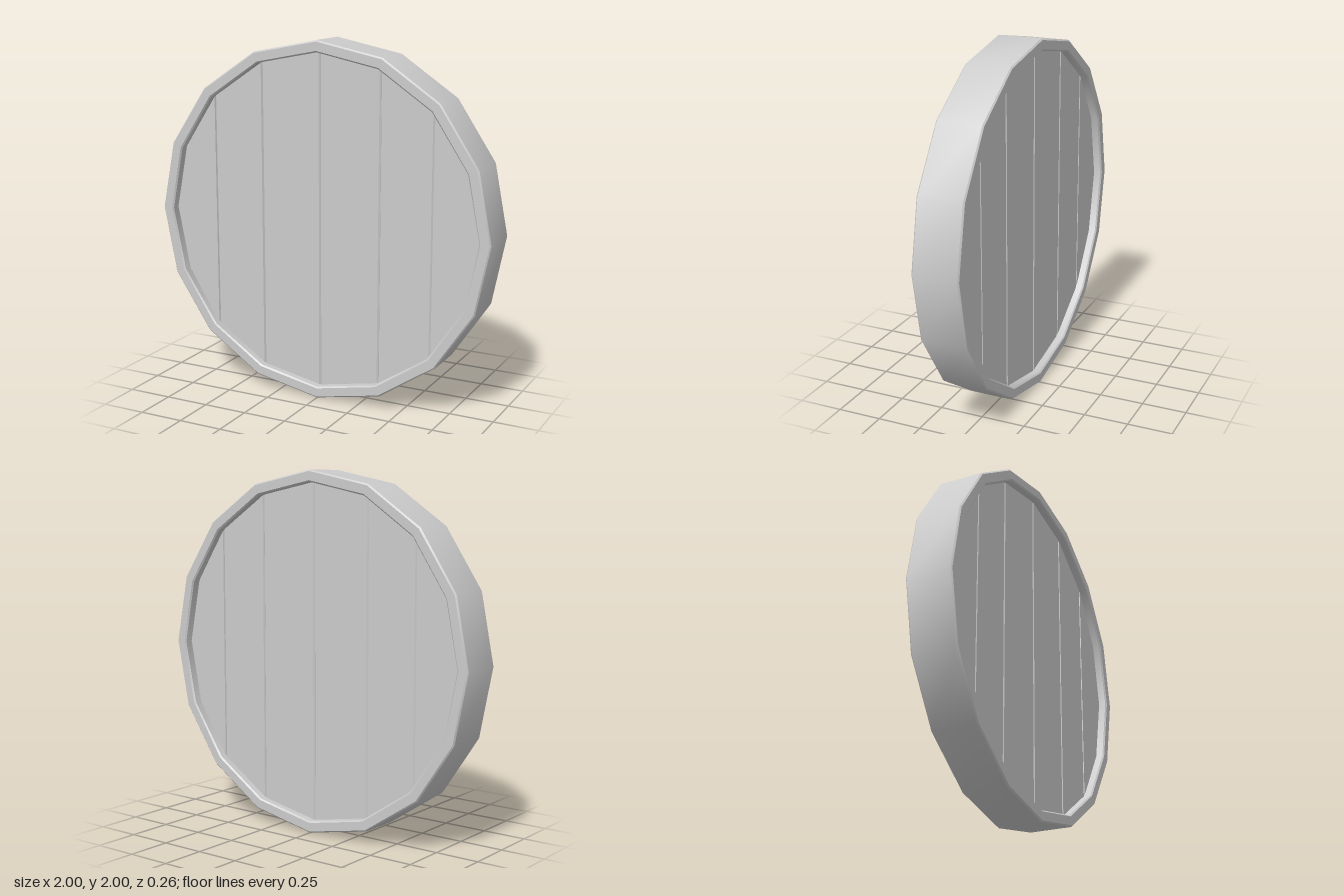
import * as THREE from 'three';
import { toCreasedNormals } from 'three/addons/utils/BufferGeometryUtils.js';

const SIDES = 16;
const HALF_DEPTH = 0.13;
const PANEL_HALF = 0.085;
const INNER = 0.935;
const material = new THREE.MeshStandardMaterial({ color: 0xcccccc });

// Hoop: chamfered rectangular section swept round 16 sides
function makeRim() {
  const c = 0.008, h = HALF_DEPTH;
  const profile = [
    [1, -h + c], [1, h - c], [1 - c, h], [INNER + c, h],
    [INNER, h - c], [INNER, -h + c], [INNER + c, -h], [1 - c, -h], [1, -h + c],
  ].map(([r, y]) => new THREE.Vector2(r, y));
  const geometry = new THREE.LatheGeometry(profile, SIDES);
  geometry.rotateX(Math.PI / 2);
  const rim = new THREE.Mesh(toCreasedNormals(geometry, 0.6), material);
  rim.name = 'rim';
  return rim;
}

// Plank spanning the ring corners from index a to b, mirrored top to bottom
function makePlank(a, b) {
  const top = [], bottom = [];
  for (let i = a; i <= b; i++) {
    const t = (i / SIDES) * Math.PI * 2;
    const x = INNER * Math.cos(t), y = (INNER + 0.015) * Math.sin(t);
    top.push(new THREE.Vector2(x, y));
    if (Math.abs(y) > 1e-6) bottom.unshift(new THREE.Vector2(x, -y));
  }
  const bevel = 0.008;
  const geometry = new THREE.ExtrudeGeometry(new THREE.Shape([...top, ...bottom]), {
    depth: 2 * (PANEL_HALF - bevel),
    bevelEnabled: true,
    bevelSize: bevel,
    bevelThickness: bevel,
    bevelOffset: -bevel,
    bevelSegments: 1,
  });
  geometry.translate(0, 0, -(PANEL_HALF - bevel));
  const plank = new THREE.Mesh(geometry, material);
  plank.name = 'plank';
  return plank;
}

export function createModel() {
  const model = new THREE.Group();
  model.name = 'barrelLid';
  model.add(makeRim());

  // Six vertical planks with seams at the ring corners
  const planks = new THREE.Group();
  planks.name = 'planks';
  for (const [a, b] of [[0, 2], [2, 3], [3, 4], [4, 5], [5, 6], [6, 8]]) {
    planks.add(makePlank(a, b));
  }
  model.add(planks);

  model.position.y = 1;
  const root = new THREE.Group();
  root.name = 'lid';
  root.add(model);
  return root;
}
